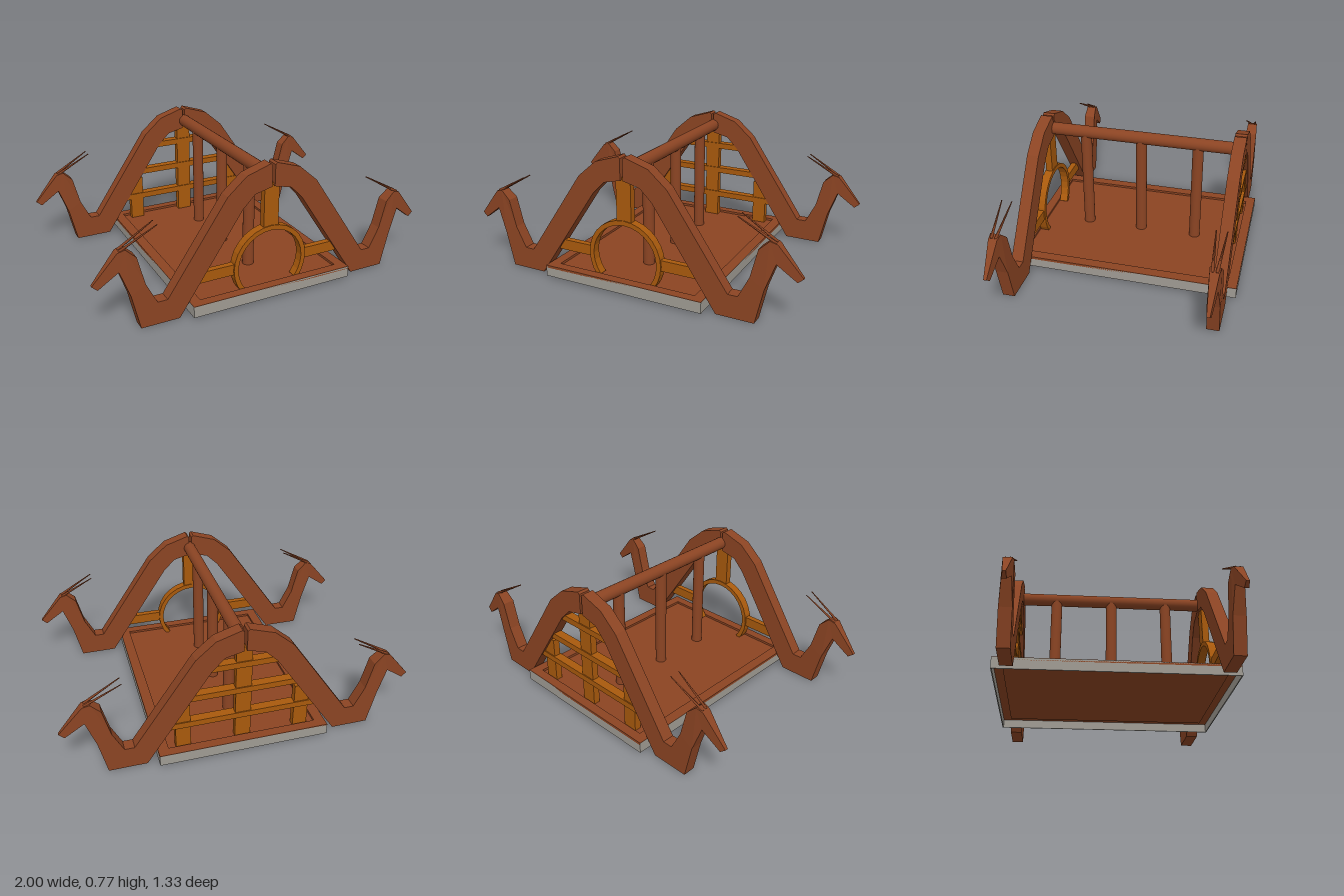
import * as THREE from 'three';

const brown = new THREE.MeshStandardMaterial({ name: 'brown wood', color: 0x8b4423 });
const ochre = new THREE.MeshStandardMaterial({ name: 'ochre wood', color: 0xa8590c });
const stone = new THREE.MeshStandardMaterial({ name: 'grey stone', color: 0x9f9b93 });
const deckBrown = new THREE.MeshStandardMaterial({ name: 'floor wood', color: 0x8b4422, side: THREE.DoubleSide });

const END = 0.58; // z of the gable frames

function add(parent, name, geometry, material, x = 0, y = 0, z = 0) {
  const mesh = new THREE.Mesh(geometry, material);
  mesh.name = name;
  mesh.position.set(x, y, z);
  parent.add(mesh);
  return mesh;
}

function box(parent, name, material, x0, x1, y0, y1, z0, z1) {
  return add(parent, name, new THREE.BoxGeometry(x1 - x0, y1 - y0, z1 - z0), material,
    (x0 + x1) / 2, (y0 + y1) / 2, (z0 + z1) / 2);
}

function rod(parent, name, a, b, rA, rB, sides, material) {
  const dir = b.clone().sub(a);
  const mesh = add(parent, name, new THREE.CylinderGeometry(rB, rA, dir.length(), sides), material);
  mesh.position.copy(a).add(b).multiplyScalar(0.5);
  mesh.quaternion.setFromUnitVectors(new THREE.Vector3(0, 1, 0), dir.normalize());
  return mesh;
}

// Half of a gable: curved rafter, foot, neck and tapered animal head
function rafterGeometry() {
  const outline = [
    [0.008, 0.765], [0.02, 0.775], [0.16, 0.73], [0.27, 0.635], [0.615, 0.13], [0.67, 0.13],
    [0.73, 0.25], [0.77, 0.41], [0.825, 0.462], [0.865, 0.45], [1, 0.29], [0.97, 0.265],
    [0.862, 0.345], [0.81, 0.2], [0.765, 0], [0.55, 0], [0.18, 0.55], [0.11, 0.62], [0.008, 0.645],
  ].map(([x, y]) => new THREE.Vector2(x, y));
  const g = new THREE.ExtrudeGeometry(new THREE.Shape(outline), { depth: 0.07, bevelEnabled: false });
  g.translate(0, 0, -0.035);
  const p = g.attributes.position;
  for (let i = 0; i < p.count; i++) {
    const x = p.getX(i);
    if (x > 0.78 && p.getY(i) > 0.25) p.setZ(i, p.getZ(i) * (1 - 0.75 * (x - 0.78) / 0.22));
  }
  g.computeVertexNormals();
  return g;
}

// Floor tray: stone walls, raised rim and a shallow sunken floor
function buildDeck() {
  const deck = new THREE.Group();
  deck.name = 'deck';
  const X = 0.49, Z = 0.665, x = 0.43, z = 0.61, t = 0.006;
  for (const s of [-1, 1]) {
    add(deck, 'sideWall', new THREE.BoxGeometry(t, 0.064, 2 * Z), stone, s * (X - t / 2), 0.042, 0);
    add(deck, 'endWall', new THREE.BoxGeometry(2 * X, 0.064, t), stone, 0, 0.042, s * (Z - t / 2));
  }
  const rect = (path, a, b) => path.moveTo(-a, -b).lineTo(a, -b).lineTo(a, b).lineTo(-a, b).closePath();
  const rim = rect(new THREE.Shape(), X, Z);
  rim.holes.push(rect(new THREE.Path(), x, z));
  const rimMesh = add(deck, 'floorRim', new THREE.ExtrudeGeometry(rim, { depth: 0.015, bevelEnabled: false }),
    deckBrown, 0, 0.061, 0);
  rimMesh.rotation.x = -Math.PI / 2;
  box(deck, 'floor', deckBrown, -x, x, 0.052, 0.062, -z, z);
  return deck;
}

// Front gable: round doorway, short king post and low rails
function buildFrontScreen() {
  const g = new THREE.Group();
  g.name = 'frontScreen';
  const cy = 0.19, low = -Math.asin(0.13 / 0.212);
  const ring = new THREE.Shape();
  ring.absarc(0, 0, 0.225, low, Math.PI - low, false);
  ring.absarc(0, 0, 0.198, Math.PI - low, low, true);
  add(g, 'doorRing', new THREE.ExtrudeGeometry(ring, { depth: 0.05, bevelEnabled: false, curveSegments: 10 }),
    ochre, 0, cy, END - 0.025);
  box(g, 'kingPost', ochre, -0.045, 0.045, 0.405, 0.66, END - 0.02, END + 0.02);
  for (const s of [-1, 1]) {
    add(g, 'lowRail', new THREE.BoxGeometry(0.225, 0.062, 0.035), ochre, s * 0.322, 0.196, END);
  }
  return g;
}

// Back gable: lattice of three posts and three rails
function buildBackScreen() {
  const g = new THREE.Group();
  g.name = 'backScreen';
  for (const [x, top] of [[-0.343, 0.34], [0, 0.66], [0.343, 0.34]]) {
    const w = x ? 0.042 : 0.045;
    box(g, 'latticePost', ochre, x - w, x + w, 0.055, top, -END - 0.02, -END + 0.02);
  }
  for (const [y, half] of [[0.213, 0.43], [0.383, 0.31], [0.552, 0.19]]) {
    box(g, 'latticeRail', ochre, -half, half, y - 0.018, y + 0.018, -END - 0.026, -END + 0.026);
  }
  return g;
}

export function createModel() {
  const model = new THREE.Group();
  model.name = 'openHall';
  model.add(buildDeck(), buildFrontScreen(), buildBackScreen());

  // Four mirrored rafters, each with a pair of swept horns
  const rafter = rafterGeometry();
  for (const z of [-END, END]) {
    for (const turn of [0, Math.PI]) {
      const half = new THREE.Group();
      half.name = 'gableHalf';
      half.position.z = z;
      half.rotation.y = turn;
      add(half, 'rafterWithHead', rafter, brown);
      for (const s of [-1, 1]) {
        rod(half, 'horn', new THREE.Vector3(0.855, 0.45, s * 0.012), new THREE.Vector3(0.655, 0.562, s * 0.029),
          0.009, 0.003, 4, brown);
      }
      model.add(half);
    }
  }

  // Ridge beam carried by three round posts
  const cx = 0.006;
  rod(model, 'ridgeBeam', new THREE.Vector3(cx, 0.692, -0.56), new THREE.Vector3(cx, 0.692, 0.56), 0.037, 0.037, 20, brown);
  for (const z of [-0.34, 0, 0.34]) {
    rod(model, 'post', new THREE.Vector3(cx, 0.055, z), new THREE.Vector3(cx, 0.69, z), 0.033, 0.033, 20, brown);
  }
  return model;
}
